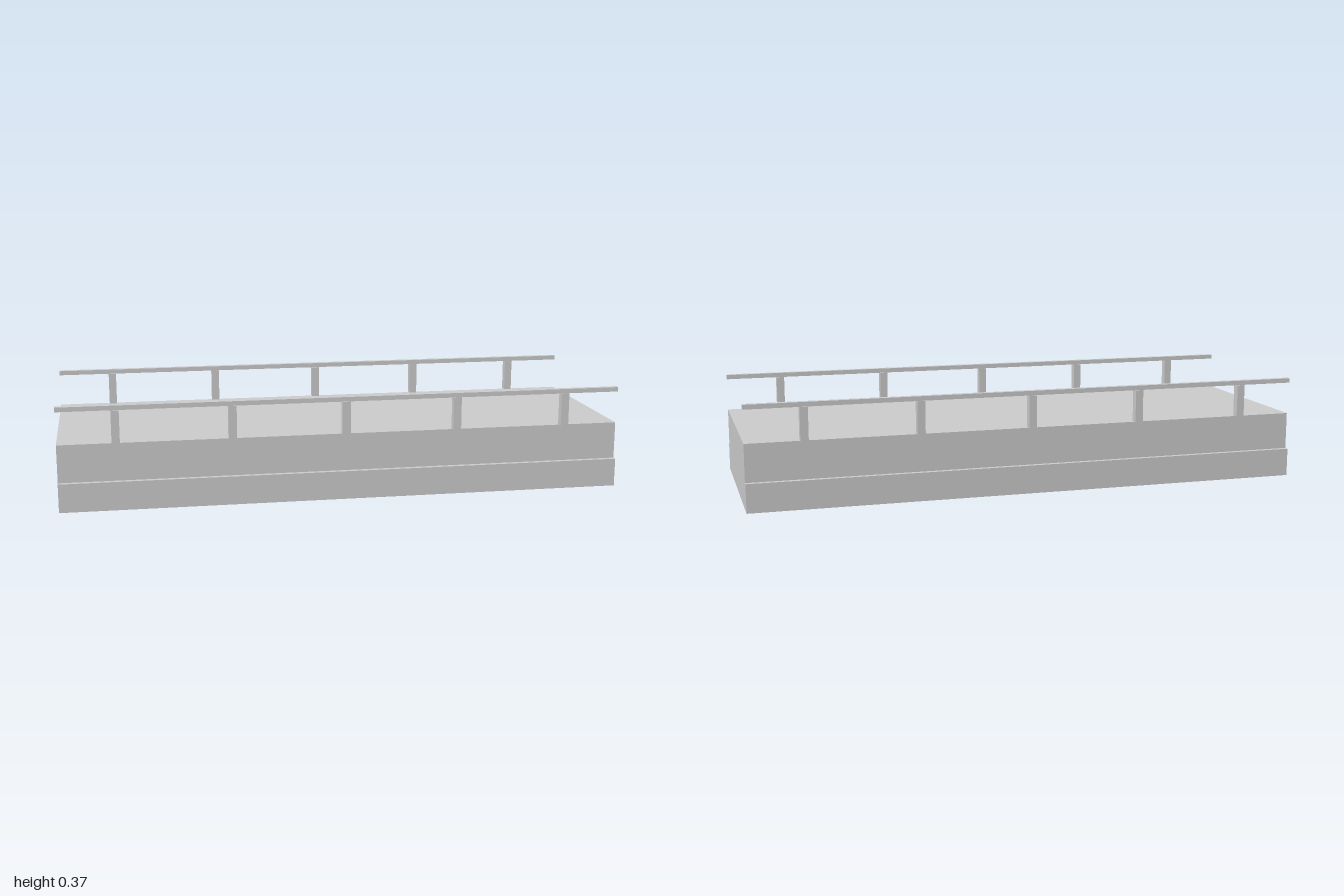
import * as THREE from 'three';

export function createModel() {
  const group = new THREE.Group();
  const concrete = new THREE.MeshStandardMaterial({ color: 0xcccccc });
  concrete.name = 'concreteGrey';

  // Box spanning y0..y1, centred on x and z
  function box(name, width, y0, y1, depth, x = 0, z = 0) {
    const mesh = new THREE.Mesh(new THREE.BoxGeometry(width, y1 - y0, depth), concrete);
    mesh.name = name;
    mesh.position.set(x, (y0 + y1) / 2, z);
    group.add(mesh);
  }

  // Stepped deck
  box('baseSlab', 2, 0, 0.101, 0.7);
  box('upperDeck', 2, 0.101, 0.234, 0.666);

  // Railings along the front and back edges
  for (const [side, sign] of [['front', 1], ['back', -1]]) {
    const z = sign * 0.334;
    box(side + 'Rail', 2, 0.351, 0.367, 0.019, 0, z);
    for (let i = -2; i <= 2; i++) {
      box(side + 'Post', 0.028, 0.234, 0.351, 0.028, i * 0.4, z);
    }
  }
  return group;
}
